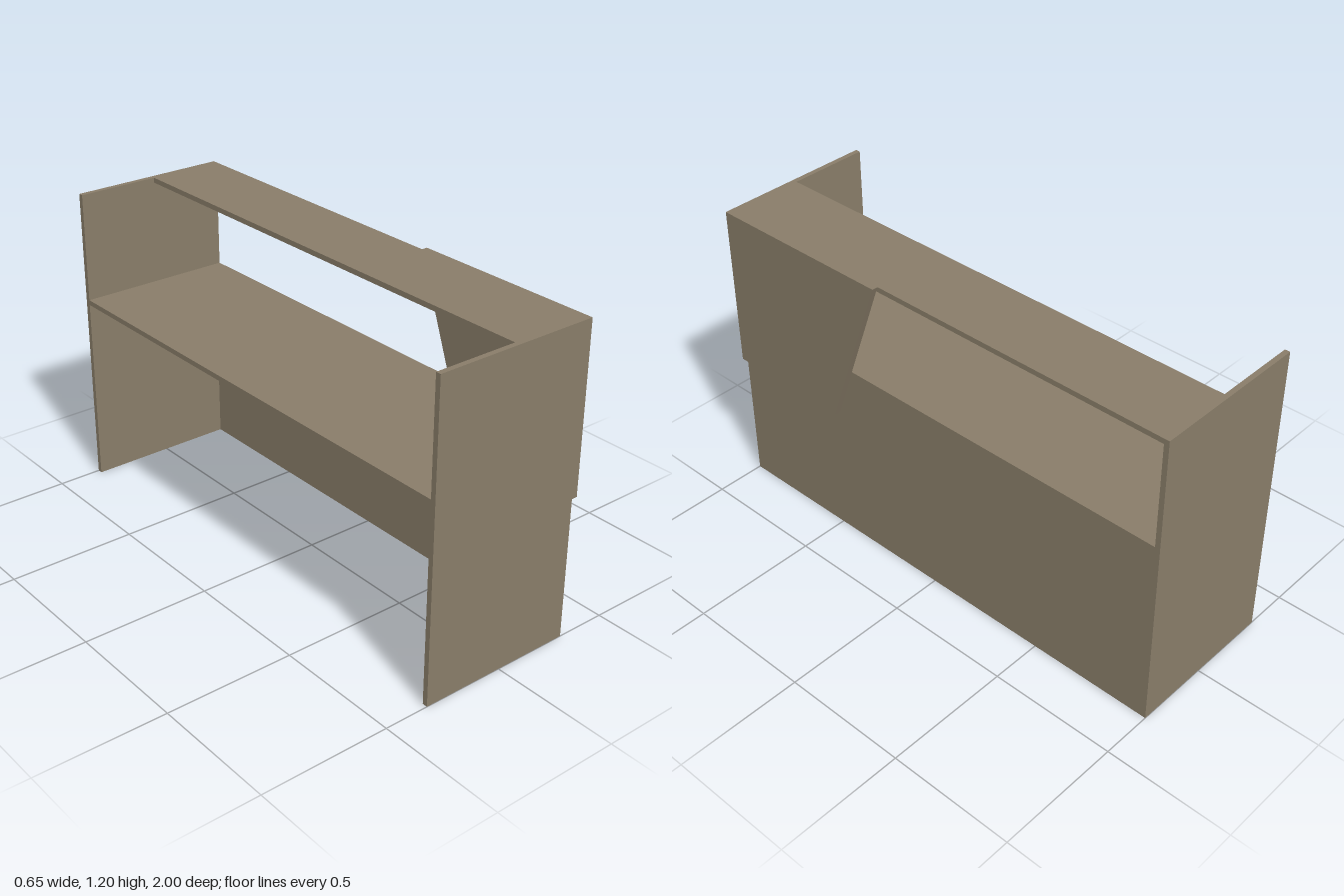
import * as THREE from 'three';

const T = 0.02; // board thickness
const BACK = -0.325, FRONT = 0.3, HEIGHT = 1.2;

export function createModel() {
  const group = new THREE.Group();
  const laminate = new THREE.MeshStandardMaterial({ color: 0x897d69 });
  laminate.name = 'taupe laminate';

  // Board given by its lower and upper corners
  function board(name, [x0, y0, z0], [x1, y1, z1]) {
    const mesh = new THREE.Mesh(new THREE.BoxGeometry(x1 - x0, y1 - y0, z1 - z0), laminate);
    mesh.position.set((x0 + x1) / 2, (y0 + y1) / 2, (z0 + z1) / 2);
    mesh.name = name;
    group.add(mesh);
  }

  const inner = 1 - T;
  board('frontEndPanel', [BACK, 0, inner], [FRONT, HEIGHT, 1]);
  board('rearEndPanel', [BACK, 0, -1], [FRONT, HEIGHT, -inner]);
  board('counterFace', [FRONT - T, 0, -inner], [FRONT, 0.77, inner]);
  board('worktop', [BACK, 0.75, -inner], [FRONT - T, 0.77, inner]);
  board('topShelf', [0, HEIGHT - T, -inner], [FRONT, HEIGHT, inner]);

  // Slanted decorative panel on the customer side, drawn in (-z, y)
  const outline = new THREE.Shape([
    new THREE.Vector2(-1, 0.55),
    new THREE.Vector2(-0.475, 0.55),
    new THREE.Vector2(-0.235, HEIGHT),
    new THREE.Vector2(-1, HEIGHT),
  ]);
  const geometry = new THREE.ExtrudeGeometry(outline, { depth: 0.023, bevelEnabled: false });
  geometry.rotateY(Math.PI / 2);
  const slantedPanel = new THREE.Mesh(geometry, laminate);
  slantedPanel.position.x = FRONT;
  slantedPanel.name = 'slantedPanel';
  group.add(slantedPanel);

  return group;
}
